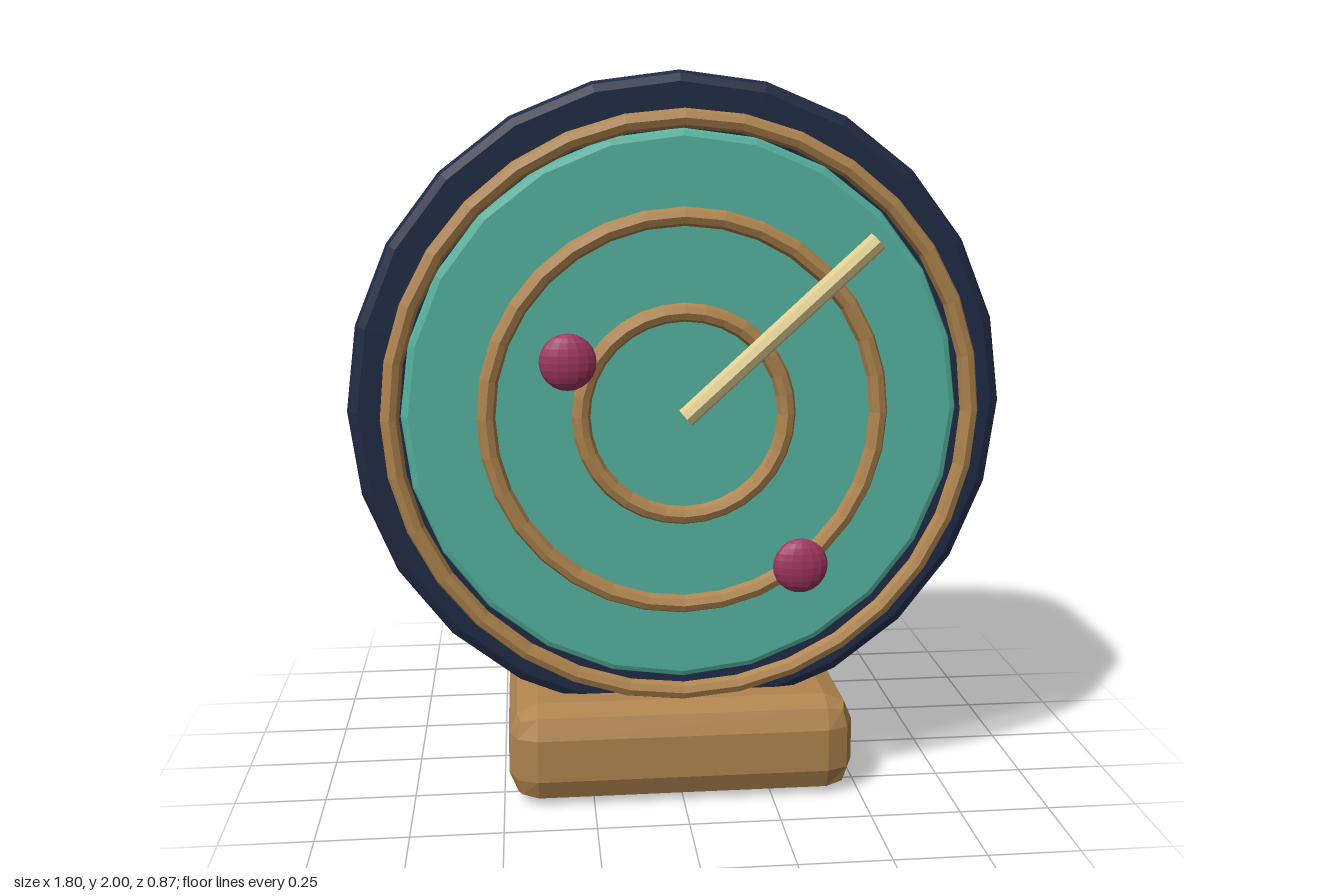
import * as THREE from 'three';

const CENTRE_Y = 1.1;
const material = (color) => new THREE.MeshStandardMaterial({ color, flatShading: true });
const navy = material(0x1f2a44);
const teal = material(0x55b3a0);
const wood = material(0xb0854f);
const cream = material(0xe0cd90);
const berry = material(0xa0355f);

function addPart(group, name, geometry, mat, x, y, z) {
  const mesh = new THREE.Mesh(geometry, mat);
  mesh.name = name;
  mesh.position.set(x, y, z);
  group.add(mesh);
  return mesh;
}

// Disc facing +z, from z0 to z1, with a two-step rounded rim
function bevelledDisc(radius, z0, z1, bevel) {
  const m = bevel * (1 - Math.SQRT1_2);
  const profile = [
    [0, z0], [radius - bevel, z0], [radius - m, z0 + m], [radius, z0 + bevel],
    [radius, z1 - bevel], [radius - m, z1 - m], [radius - bevel, z1], [0, z1],
  ].map(([r, z]) => new THREE.Vector2(r, z));
  return new THREE.LatheGeometry(profile, 24).rotateX(Math.PI / 2);
}

// Box whose edges and corners are rounded in two steps
function bevelledBox(w, h, d, bevel) {
  const geometry = new THREE.BoxGeometry(2, 2, 2, 3, 3, 3);
  const p = geometry.attributes.position;
  const core = new THREE.Vector3(w / 2 - bevel, h / 2 - bevel, d / 2 - bevel);
  const v = new THREE.Vector3();
  const dir = new THREE.Vector3();
  const outer = (c) => (Math.abs(c) > 0.9 ? Math.sign(c) : 0);
  for (let i = 0; i < p.count; i++) {
    v.fromBufferAttribute(p, i);
    dir.set(outer(v.x), outer(v.y), outer(v.z)).normalize().multiplyScalar(bevel);
    v.set(Math.sign(v.x), Math.sign(v.y), Math.sign(v.z)).multiply(core).add(dir);
    p.setXYZ(i, v.x, v.y, v.z);
  }
  geometry.computeVertexNormals();
  return geometry;
}

export function createModel() {
  const group = new THREE.Group();
  group.name = 'roundDial';

  // Stand, drum-shaped case and dial face
  addPart(group, 'base', bevelledBox(0.97, 0.28, 0.81, 0.08), wood, 0, 0.14, -0.03);
  addPart(group, 'case', bevelledDisc(0.9, -0.295, 0.235, 0.03), navy, 0, CENTRE_Y, 0);
  addPart(group, 'dialFace', bevelledDisc(0.75, 0.248, 0.32, 0.02), teal, 0, CENTRE_Y, 0);

  // Concentric wooden rings
  const rings = { outerRing: 0.775, middleRing: 0.525, innerRing: 0.275 };
  for (const [name, radius] of Object.entries(rings)) {
    addPart(group, name, new THREE.TorusGeometry(radius, 0.025, 8, 32), wood, 0, CENTRE_Y, 0.347);
  }

  // Pointer from the centre to the upper right
  const tip = new THREE.Vector2(0.503, 0.46);
  const pointer = addPart(group, 'pointer', new THREE.CylinderGeometry(0.027, 0.027, tip.length(), 8),
    cream, tip.x / 2, CENTRE_Y + tip.y / 2, 0.387);
  pointer.rotation.z = tip.angle() - Math.PI / 2;

  // Flattened marker beads
  for (const [name, x, y] of [['upperBead', -0.31, 1.255], ['lowerBead', 0.31, 0.69]]) {
    const bead = addPart(group, name, new THREE.SphereGeometry(0.075, 16, 12), berry, x, y, 0.4);
    bead.scale.z = 0.46;
  }
  return group;
}
